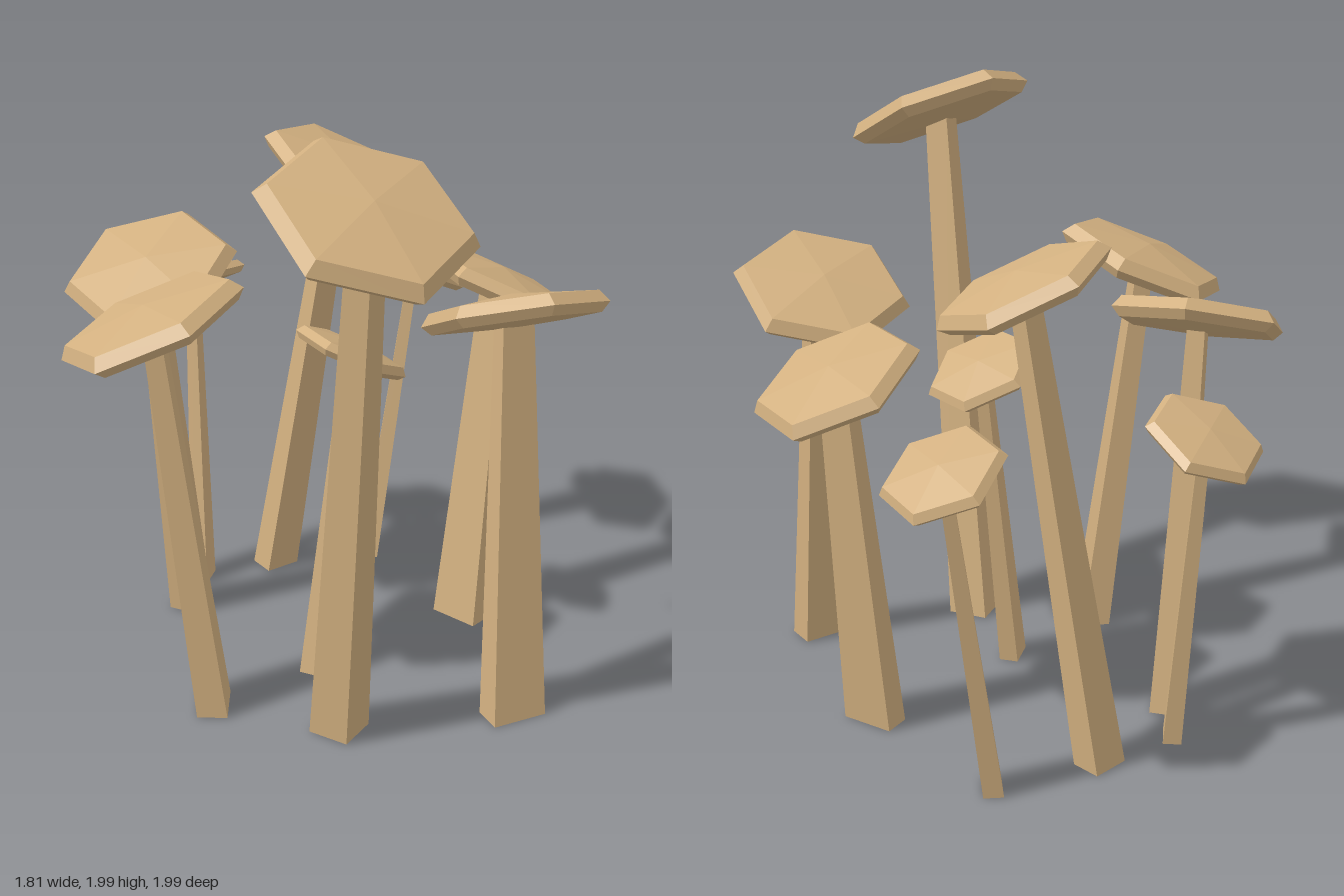
import * as THREE from 'three';

// One row per mushroom: cap centre, cap radius, slope of the cap along x and z, turn of the cap,
// foot position (x, z), stem width and depth at the foot, turn of the stem. Turns are in degrees.
const MUSHROOMS = [
  { cap: [-0.365, 1.33, -0.48], r: 0.295, slope: [0.4, -0.2], turn: 0, foot: [-0.22, -0.53], size: [0.13, 0.1], stemTurn: 30 },
  { cap: [0.0, 1.12, -0.82], r: 0.195, slope: [0.05, 0.5], turn: -5, foot: [-0.08, -0.67], size: [0.1, 0.06], stemTurn: 40 },
  { cap: [0.355, 1.575, -0.41], r: 0.28, slope: [-0.3, -0.35], turn: -8, foot: [0.205, -0.61], size: [0.13, 0.1], stemTurn: 0 },
  { cap: [0.735, 1.12, -0.47], r: 0.195, slope: [-0.5, 0], turn: -13, foot: [0.55, -0.475], size: [0.11, 0.065], stemTurn: 50 },
  { cap: [-0.64, 1.36, 0.0], r: 0.305, slope: [0.33, 0.27], turn: -6, foot: [-0.51, 0.09], size: [0.16, 0.1], stemTurn: 54 },
  { cap: [0.06, 1.12, 0.07], r: 0.195, slope: [-0.52, -0.05], turn: -6, foot: [-0.1, 0.09], size: [0.11, 0.065], stemTurn: 30 },
  { cap: [0.665, 1.24, 0.08], r: 0.275, slope: [-0.45, -0.12], turn: -13, foot: [0.535, 0.1], size: [0.18, 0.09], stemTurn: 103 },
  { cap: [0.33, 1.35, 0.55], r: 0.295, slope: [-0.14, 0.45], turn: -16, foot: [0.265, 0.7], size: [0.19, 0.1], stemTurn: -10 },
  { cap: [-0.355, 1.825, 0.71], r: 0.325, slope: [0, -0.53], turn: -4, foot: [-0.25, 0.44], size: [0.14, 0.14], stemTurn: 23 },
];

const UP = new THREE.Vector3(0, 1, 0);
const { degToRad, lerp } = THREE.MathUtils;

// Six-sided cap: shallow underside, two-band bevelled rim and a low dome
function capGeometry(r, turn) {
  const profile = [[0, -0.16], [0.9, -0.12], [1, -0.02], [0.9, 0.11], [0, 0.2]]
    .map(([x, y]) => new THREE.Vector2(x * r, y * r));
  return new THREE.LatheGeometry(profile, 6).rotateY(degToRad(turn));
}

// Four-sided tapered tube, open at the foot, leaning up to the cap
function stemGeometry({ cap, foot, size, stemTurn }) {
  const geo = new THREE.CylinderGeometry(0.57 * Math.SQRT1_2, Math.SQRT1_2, 1, 4, 1, true);
  geo.rotateY(Math.PI / 4).translate(0, 0.5, 0);
  geo.scale(size[0], 1, size[1]).rotateY(degToRad(stemTurn));
  const p = geo.attributes.position;
  for (let i = 0; i < p.count; i++) {
    const t = p.getY(i);
    p.setXYZ(
      i,
      p.getX(i) + lerp(foot[0], cap[0], t),
      t * cap[1],
      p.getZ(i) + lerp(foot[1], cap[2], t),
    );
  }
  geo.computeVertexNormals();
  return geo;
}

export function createModel() {
  const group = new THREE.Group();
  group.name = 'mushroomCluster';
  const material = new THREE.MeshStandardMaterial({
    color: 0xd2b080, flatShading: true, side: THREE.DoubleSide,
  });

  for (const m of MUSHROOMS) {
    const mushroom = new THREE.Group();
    mushroom.name = 'mushroom';

    const stem = new THREE.Mesh(stemGeometry(m), material);
    stem.name = 'stem';

    const cap = new THREE.Mesh(capGeometry(m.r, m.turn), material);
    cap.name = 'cap';
    cap.position.set(...m.cap);
    const normal = new THREE.Vector3(-m.slope[0], 1, -m.slope[1]).normalize();
    cap.quaternion.setFromUnitVectors(UP, normal);

    mushroom.add(stem, cap);
    group.add(mushroom);
  }
  return group;
}
